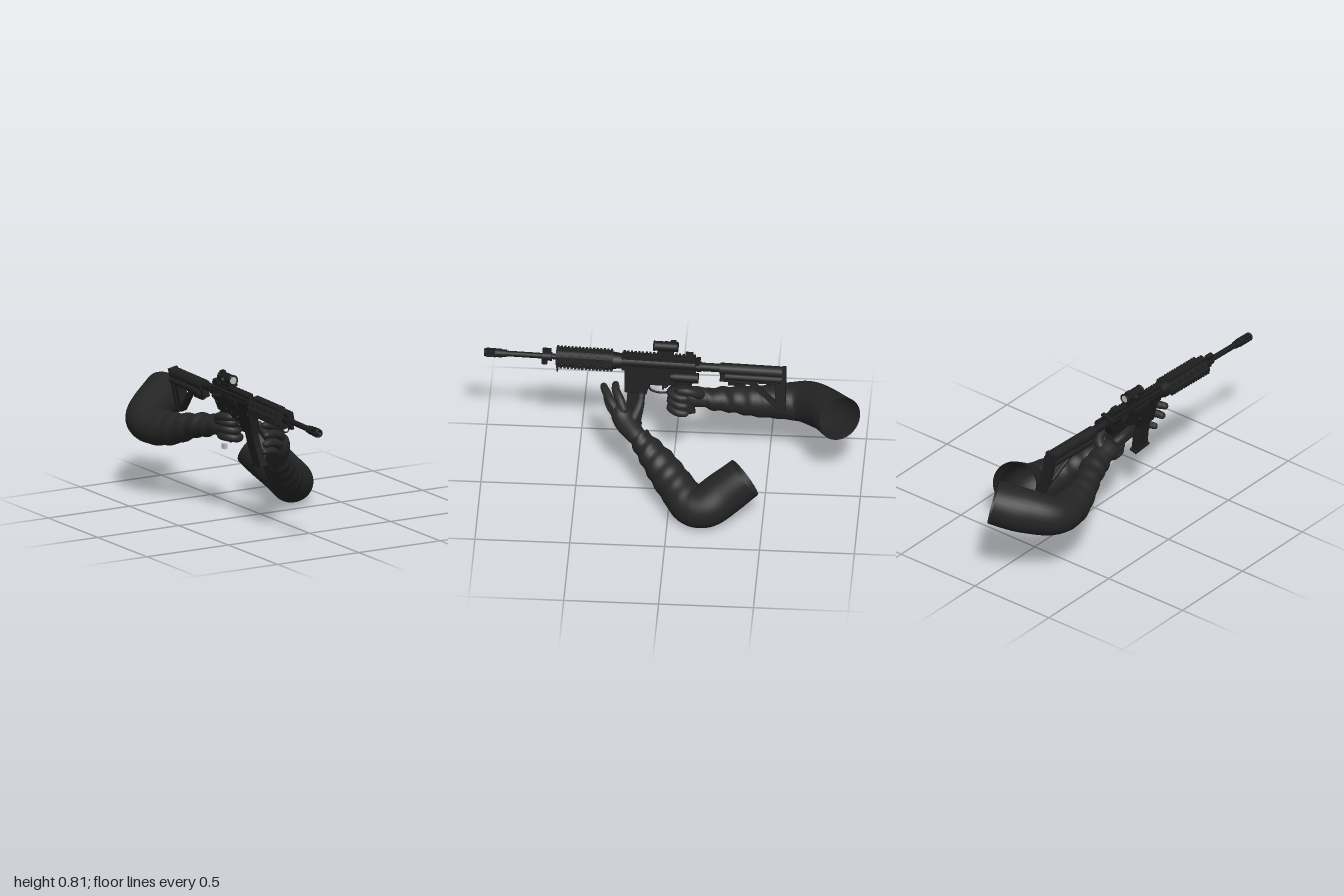
import * as THREE from 'three';
import { mergeVertices } from 'three/addons/utils/BufferGeometryUtils.js';

const mat = (name, color, side = THREE.FrontSide) => {
  const m = new THREE.MeshStandardMaterial({ color, side });
  m.name = name;
  return m;
};

export function createModel() {
  const sleeveMat = mat('sleeve cloth', 0x242424, THREE.DoubleSide);
  const gloveMat = mat('glove', 0x282828);
  const metal = mat('gun metal', 0x1c1c1c);
  const polymer = mat('polymer', 0x202020);
  const lensMat = mat('pale lens', 0xbcbcbc);

  const root = new THREE.Group();
  const group = (name, parent = root) => {
    const g = new THREE.Group();
    g.name = name;
    parent.add(g);
    return g;
  };
  const add = (parent, name, geo, m, x = 0, y = 0, z = 0) => {
    const mesh = new THREE.Mesh(geo, m);
    mesh.name = name;
    mesh.position.set(x, y, z);
    parent.add(mesh);
    return mesh;
  };
  const box = (p, name, m, w, h, d, x, y, z) => add(p, name, new THREE.BoxGeometry(w, h, d), m, x, y, z);
  // Cylinder lying along z from z0 (back) to z1 (front)
  const rod = (p, name, m, r, z0, z1, x = 0, y = 0, sides = 20, r2 = r) =>
    add(p, name, new THREE.CylinderGeometry(r2, r, z1 - z0, sides).rotateX(Math.PI / 2), m, x, y, (z0 + z1) / 2);
  // Cylinder lying across the gun
  const pin = (p, name, m, r, w, x, y, z) =>
    add(p, name, new THREE.CylinderGeometry(r, r, w, 14).rotateZ(Math.PI / 2), m, x, y, z);
  // Side profile given as [z, y] points, extruded across x
  const plate = (p, name, m, pts, width, holes = []) => {
    const v = a => a.map(q => new THREE.Vector2(q[0], q[1]));
    const s = new THREE.Shape(v(pts));
    holes.forEach(h => s.holes.push(new THREE.Path(v(h))));
    const bevel = 0.004, depth = width - 2 * bevel;
    const geo = new THREE.ExtrudeGeometry(s, { depth, bevelSize: bevel, bevelThickness: bevel, bevelOffset: -bevel, bevelSegments: 1 });
    return add(p, name, geo.translate(0, 0, -depth / 2).rotateY(-Math.PI / 2), m);
  };
  // Smooth tube through [x, y, z, radius] points, with rounded ends or cloth folds
  const limb = (p, name, m, pts, { segs = 24, sides = 14, capped = true, fold = null } = {}) => {
    const curve = new THREE.CatmullRomCurve3(pts.map(q => new THREE.Vector3(q[0], q[1], q[2])));
    const radii = new THREE.SplineCurve(pts.map((q, i) => new THREE.Vector2(i, q[3])));
    const geo = new THREE.TubeGeometry(curve, segs, 1, sides);
    const pos = geo.attributes.position, len = curve.getLength(), v = new THREE.Vector3();
    for (let i = 0; i <= segs; i++) {
      const u = i / segs, c = curve.getPointAt(u);
      let r = radii.getPoint(curve.getUtoTmapping(u)).y;
      if (capped) {
        const s = Math.min(u, 1 - u) * len / r;
        if (s < 1) r *= Math.sqrt(Math.max(0.002, 1 - (1 - s) ** 2));
      }
      for (let j = 0; j <= sides; j++) {
        const k = i * (sides + 1) + j, a = (j % sides) / sides * Math.PI * 2;
        const rr = r + (fold ? fold(u, a) : 0);
        v.set(pos.getX(k), pos.getY(k), pos.getZ(k)).sub(c).multiplyScalar(rr).add(c);
        pos.setXYZ(k, v.x, v.y, v.z);
      }
    }
    geo.deleteAttribute('normal');
    geo.deleteAttribute('uv');
    const merged = mergeVertices(geo, 1e-5);
    merged.computeVertexNormals();
    return add(p, name, merged, m);
  };
  // Folds are strongest on the forearm and fade towards the shoulder
  const folds = (u, a) => 0.005 * Math.max(0, 1 - u * 1.5) * Math.sin(u * 62 + 1.6 * Math.sin(a)) + 0.003 * Math.sin(2 * a + u * 14);

  // ---------- Rifle, built around its bore ----------
  const gun = group('rifle');
  gun.position.set(-0.2, 0.68, 0);
  gun.rotation.set(0, -0.042, 0.22, 'YXZ');

  // Barrel and muzzle
  rod(gun, 'barrel', metal, 0.015, 0.6, 0.94);
  rod(gun, 'muzzleCollar', metal, 0.02, 0.88, 0.905);
  rod(gun, 'muzzleBase', metal, 0.023, 0.905, 0.94);
  for (let i = 0; i < 6; i++) {
    const a = i * Math.PI / 3;
    box(gun, 'muzzleProng', metal, 0.011, 0.011, 0.05, Math.cos(a) * 0.017, Math.sin(a) * 0.017, 0.963);
  }
  add(gun, 'muzzleRing', new THREE.TorusGeometry(0.017, 0.006, 8, 20), metal, 0, 0, 0.993);
  rod(gun, 'gasBlock', metal, 0.024, 0.64, 0.69);
  box(gun, 'frontSightBase', metal, 0.026, 0.034, 0.045, 0, 0.025, 0.668);
  box(gun, 'bayonetLug', metal, 0.016, 0.035, 0.03, 0, -0.028, 0.68);
  add(gun, 'slingLoop', new THREE.TorusGeometry(0.018, 0.004, 6, 16), metal, 0, -0.062, 0.61);

  // Railed handguard
  rod(gun, 'handguardCore', polymer, 0.046, 0.315, 0.618, 0, 0, 8);
  for (let s = 0; s < 4; s++) {
    const rail = group('handguardRail', gun);
    rail.rotation.z = s * Math.PI / 2;
    box(rail, 'railBase', polymer, 0.03, 0.014, 0.3, 0, 0.045, 0.467);
    for (let i = 0; i < 16; i++) box(rail, 'railTooth', polymer, 0.036, 0.009, 0.011, 0, 0.054, 0.325 + i * 0.019);
    for (let i = 0; i < 6; i++) {
      const port = add(rail, 'coolingPort', new THREE.CylinderGeometry(0.009, 0.009, 0.006, 12), metal, 0.032, 0.032, 0.35 + i * 0.047);
      port.rotation.z = -Math.PI / 4;
    }
  }
  rod(gun, 'barrelNut', metal, 0.04, 0.27, 0.315, 0, 0, 24, 0.046);

  // Upper receiver and top rail
  box(gun, 'upperReceiver', metal, 0.056, 0.075, 0.39, 0, -0.005, 0.075);
  rod(gun, 'upperReceiverRound', metal, 0.034, -0.12, 0.27, 0, 0.002);
  box(gun, 'topRail', metal, 0.028, 0.02, 0.39, 0, 0.038, 0.075);
  for (let i = 0; i < 20; i++) box(gun, 'topRailTooth', metal, 0.037, 0.009, 0.011, 0, 0.05, -0.112 + i * 0.0195);
  box(gun, 'ejectionCover', polymer, 0.006, 0.032, 0.11, -0.036, -0.005, 0.1);
  const assist = rod(gun, 'forwardAssist', metal, 0.013, -0.07, -0.01, -0.04, -0.004, 14);
  assist.rotation.y = 0.35;
  box(gun, 'chargingHandle', metal, 0.085, 0.014, 0.022, 0, 0.024, -0.132);
  box(gun, 'rearSight', metal, 0.036, 0.022, 0.04, 0, 0.058, -0.085);
  rod(gun, 'sideHousing', metal, 0.028, -0.14, -0.01, 0.046, -0.052, 20);
  rod(gun, 'sideHousingCap', metal, 0.02, -0.01, 0.005, 0.046, -0.052, 20);

  // Lower receiver with magazine well
  plate(gun, 'lowerReceiver', metal, [[0.255, -0.035], [0.25, -0.17], [0.135, -0.175], [0.12, -0.12], [0, -0.115], [-0.1, -0.1], [-0.125, -0.03]], 0.052);
  for (const [z, y] of [[0.24, -0.055], [0.06, -0.08], [0.0, -0.075], [-0.09, -0.055]]) pin(gun, 'receiverPin', metal, 0.008, 0.062, 0, y, z);
  box(gun, 'boltCatch', metal, 0.008, 0.045, 0.014, 0.029, -0.07, 0.11);
  pin(gun, 'magazineCatch', metal, 0.009, 0.068, 0, -0.095, 0.12);
  const guard = new THREE.CatmullRomCurve3([[0.13, -0.115], [0.115, -0.155], [0.03, -0.165], [-0.005, -0.12]].map(q => new THREE.Vector3(0, q[1], q[0])));
  add(gun, 'triggerGuard', new THREE.TubeGeometry(guard, 16, 0.006, 8), metal);
  box(gun, 'trigger', metal, 0.008, 0.04, 0.01, 0, -0.13, 0.05);
  plate(gun, 'pistolGrip', polymer, [[0.0, -0.1], [-0.085, -0.095], [-0.125, -0.27], [-0.055, -0.285], [-0.03, -0.19]], 0.036);

  // Magazine
  plate(gun, 'magazine', polymer, [[0.235, -0.15], [0.24, -0.25], [0.255, -0.345], [0.165, -0.36], [0.148, -0.26], [0.145, -0.15]], 0.036);
  const floor = box(gun, 'magazineFloor', polymer, 0.044, 0.014, 0.105, 0, -0.353, 0.21);
  floor.rotation.x = -0.16;

  // Stock and the tube that carries it
  rod(gun, 'stockTube', metal, 0.023, -0.28, -0.12, 0, -0.005);
  rod(gun, 'castleNut', metal, 0.029, -0.15, -0.13, 0, -0.005);
  plate(gun, 'stock', polymer, [[-0.25, 0.015], [-0.59, 0.018], [-0.585, -0.225], [-0.56, -0.222], [-0.41, -0.085], [-0.25, -0.075]], 0.038,
    [[[-0.43, -0.075], [-0.545, -0.075], [-0.545, -0.175]]]);
  rod(gun, 'stockCheek', polymer, 0.032, -0.58, -0.25, 0, -0.008, 18);
  for (const x of [-0.024, 0.024]) rod(gun, 'stockStorage', polymer, 0.019, -0.58, -0.28, x, -0.04, 14);
  box(gun, 'buttPad', polymer, 0.052, 0.245, 0.02, 0, -0.104, -0.588);
  box(gun, 'stockLever', metal, 0.02, 0.02, 0.09, 0, -0.088, -0.34);

  // Optic sight
  box(gun, 'sightMount', metal, 0.042, 0.03, 0.085, 0, 0.062, 0.04);
  box(gun, 'mountClamp', metal, 0.07, 0.012, 0.035, 0.006, 0.053, 0.04);
  rod(gun, 'sightTube', metal, 0.026, -0.02, 0.1, 0, 0.1, 24);
  for (const z of [-0.021, 0.101]) add(gun, 'sightRim', new THREE.TorusGeometry(0.024, 0.005, 8, 24), metal, 0, 0.1, z);
  rod(gun, 'sightLens', lensMat, 0.02, -0.022, 0.102, 0, 0.1, 24);
  box(gun, 'sightTurret', metal, 0.022, 0.02, 0.03, 0, 0.125, 0.0);
  pin(gun, 'sightKnob', metal, 0.013, 0.02, -0.032, 0.1, 0.04);

  // ---------- Left arm, supporting the magazine ----------
  const leftArm = group('leftArm');
  limb(leftArm, 'leftSleeve', sleeveMat, [
    [0.0, 0.345, 0.17, 0.058], [0.03, 0.31, 0.13, 0.07], [0.1, 0.245, 0.05, 0.085], [0.19, 0.17, -0.04, 0.1],
    [0.275, 0.117, -0.13, 0.112], [0.29, 0.127, -0.2, 0.116], [0.255, 0.19, -0.3, 0.117], [0.215, 0.265, -0.405, 0.118],
  ], { segs: 90, sides: 32, capped: false, fold: folds });
  limb(leftArm, 'leftPalm', gloveMat, [
    [0.02, 0.325, 0.15, 0.05], [-0.005, 0.36, 0.19, 0.052], [-0.03, 0.41, 0.235, 0.06], [-0.045, 0.46, 0.265, 0.055], [-0.07, 0.51, 0.29, 0.03],
  ], { sides: 20 });
  [
    [[-0.02, 0.475, 0.24, 0.026], [-0.06, 0.535, 0.27, 0.024], [-0.11, 0.56, 0.295, 0.022], [-0.17, 0.57, 0.3, 0.018]],
    [[-0.03, 0.46, 0.27, 0.026], [-0.08, 0.51, 0.32, 0.024], [-0.14, 0.53, 0.35, 0.022], [-0.2, 0.53, 0.37, 0.018]],
    [[-0.04, 0.43, 0.27, 0.026], [-0.09, 0.465, 0.32, 0.024], [-0.14, 0.48, 0.34, 0.022], [-0.195, 0.475, 0.35, 0.018]],
    [[-0.04, 0.4, 0.25, 0.025], [-0.09, 0.42, 0.285, 0.023], [-0.13, 0.425, 0.3, 0.02], [-0.175, 0.425, 0.31, 0.016]],
    [[-0.02, 0.42, 0.21, 0.03], [-0.06, 0.47, 0.18, 0.026], [-0.09, 0.51, 0.165, 0.022], [-0.115, 0.555, 0.16, 0.018]],
  ].forEach((pts, i) => limb(leftArm, i < 4 ? 'leftFinger' : 'leftThumb', gloveMat, pts));

  // ---------- Right arm, holding the grip ----------
  const rightArm = group('rightArm');
  limb(rightArm, 'rightSleeve', sleeveMat, [
    [-0.185, 0.475, -0.17, 0.054], [-0.195, 0.465, -0.23, 0.065], [-0.222, 0.445, -0.32, 0.068], [-0.262, 0.41, -0.44, 0.082],
    [-0.288, 0.395, -0.57, 0.097], [-0.28, 0.405, -0.69, 0.108], [-0.18, 0.442, -0.795, 0.115], [-0.035, 0.487, -0.89, 0.119],
  ], { segs: 90, sides: 32, capped: false, fold: folds });
  limb(rightArm, 'rightPalm', gloveMat, [
    [-0.185, 0.47, -0.22, 0.05], [-0.185, 0.48, -0.16, 0.052], [-0.18, 0.488, -0.11, 0.055], [-0.18, 0.49, -0.04, 0.042],
  ], { sides: 20 });
  for (let i = 0; i < 3; i++) {
    const y = 0.525 - i * 0.042, s = (0.5 - y) * 0.22;
    limb(rightArm, 'rightFinger', gloveMat, [
      [-0.205 + s, y, -0.1, 0.024], [-0.2 + s, y, -0.025, 0.023], [-0.16 + s, y - 0.005, 0.01, 0.022],
      [-0.122 + s, y - 0.01, -0.03, 0.021], [-0.122 + s, y - 0.015, -0.09, 0.018]]);
  }
  limb(rightArm, 'rightIndexFinger', gloveMat, [[-0.205, 0.53, -0.1, 0.026], [-0.218, 0.555, -0.03, 0.023], [-0.2, 0.56, 0.03, 0.02], [-0.16, 0.555, 0.045, 0.016]]);
  limb(rightArm, 'rightThumb', gloveMat, [[-0.175, 0.5, -0.15, 0.03], [-0.135, 0.54, -0.13, 0.025], [-0.118, 0.565, -0.08, 0.022], [-0.12, 0.565, -0.02, 0.017]]);
  box(rightArm, 'gripTab', lensMat, 0.02, 0.028, 0.028, -0.17, 0.378, -0.078);

  return root;
}
